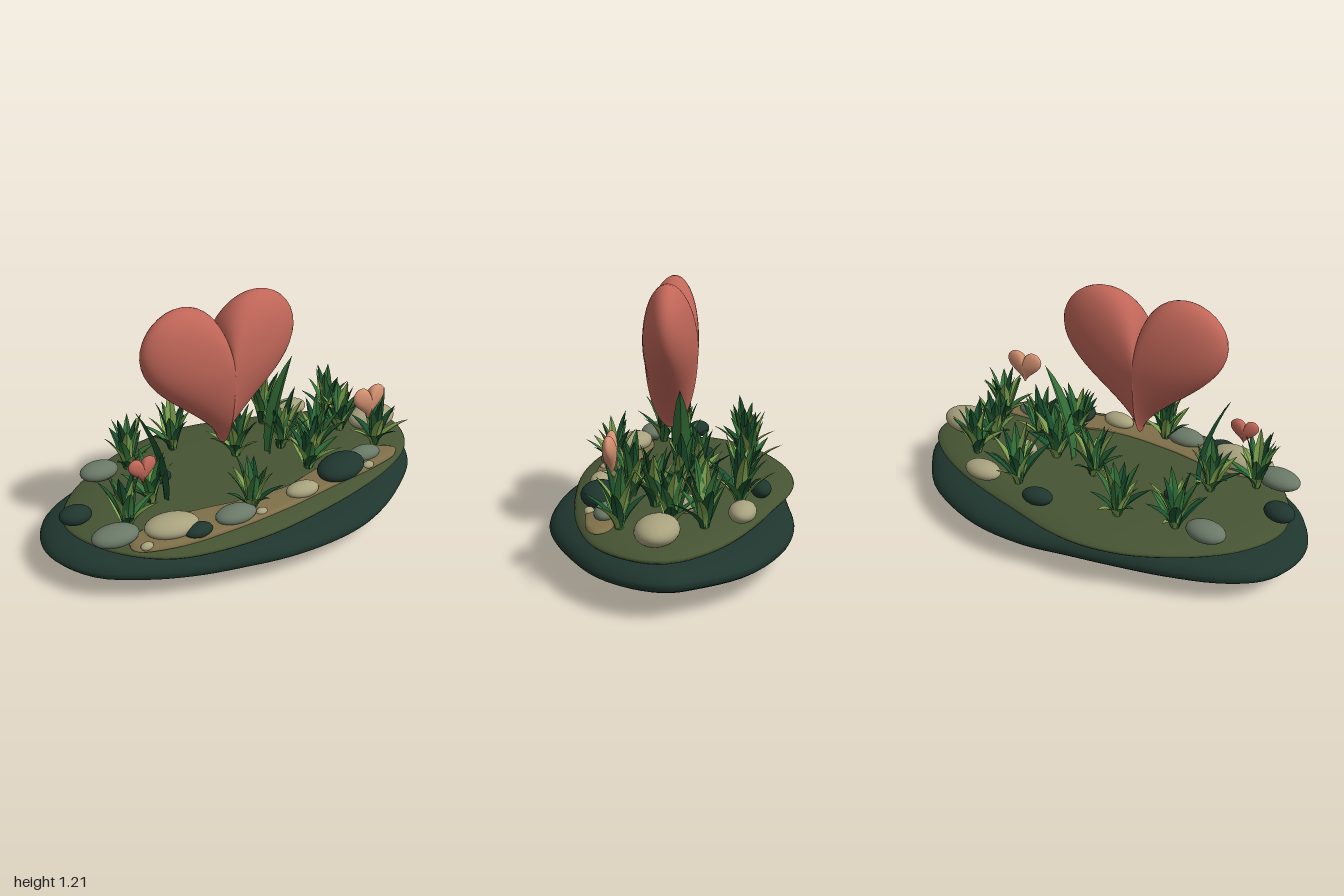
import * as THREE from 'three';
import { mergeGeometries } from 'three/addons/utils/BufferGeometryUtils.js';

const mat = (name, color, side = THREE.FrontSide) => {
  const m = new THREE.MeshStandardMaterial({ color, side });
  m.name = name;
  return m;
};

// Skin over a stack of closed rings of equal point count
function skin(rings) {
  const n = rings[0].length, index = [];
  for (let i = 0; i < rings.length - 1; i++)
    for (let j = 0; j < n; j++) {
      const k = (j + 1) % n, a = i * n + j, b = i * n + k, c = b + n, d = a + n;
      index.push(a, b, c, a, c, d);
    }
  const g = new THREE.BufferGeometry();
  g.setAttribute('position', new THREE.Float32BufferAttribute(rings.flat(2), 3));
  g.setIndex(index);
  g.computeVertexNormals();
  return g;
}

// Pebble-like slab: a plan outline [x, z] scaled by a profile of [scale, y]
function slab(outline, profile, cx, cz) {
  const curve = new THREE.CatmullRomCurve3(
    outline.map(([x, z]) => new THREE.Vector3(x, 0, z)), true, 'centripetal');
  const pts = curve.getPoints(96).slice(0, -1);
  return skin(profile.map(([s, y]) =>
    pts.map(p => [cx + (p.x - cx) * s, y, cz + (p.z - cz) * s])));
}

// Puffed heart: heart outline swelling from back to front
function heart(halfWidth, depth) {
  const rings = [], k = halfWidth / 16, cy = -1, N = 72, M = 24;
  for (let i = 0; i <= M; i++) {
    const u = 0.001 + (i / M) * (Math.PI - 0.002), s = Math.sin(u), ring = [];
    for (let j = 0; j < N; j++) {
      const t = -(j / N) * Math.PI * 2;
      const x = 16 * Math.sin(t) ** 3;
      const y = 13 * Math.cos(t) - 5 * Math.cos(2 * t) - 2 * Math.cos(3 * t) - Math.cos(4 * t);
      ring.push([x * s * k, (cy + (y - cy) * s) * k, -Math.cos(u) * depth]);
    }
    rings.push(ring);
  }
  return skin(rings);
}

// Pointed leaf, folded along its midrib and arching outward at the given angle
function leaf(x, y, z, angle, height, reach, half) {
  const pos = [], index = [], S = 7;
  const dx = Math.cos(angle), dz = Math.sin(angle);
  for (let i = 0; i <= S; i++) {
    const t = i / S, r = reach * t ** 1.6, h = height * (1.15 * t - 0.15 * t * t);
    const w = half * Math.max(0, Math.sin(Math.PI * (0.16 + 0.84 * t))) ** 0.85;
    for (const side of [-1, 0, 0, 1]) {
      const rr = r - Math.abs(side) * w * 0.4;
      pos.push(x + dx * rr - dz * w * side, y + h + Math.abs(side) * w * 0.15, z + dz * rr + dx * w * side);
    }
    if (i < S) for (const c of [0, 2]) {
      const a = i * 4 + c;
      index.push(a, a + 4, a + 1, a + 1, a + 4, a + 5);
    }
  }
  const g = new THREE.BufferGeometry();
  g.setAttribute('position', new THREE.Float32BufferAttribute(pos, 3));
  g.setIndex(index);
  g.computeVertexNormals();
  return g;
}

export function createModel() {
  const root = new THREE.Group();
  root.name = 'heartGarden';
  let seed = 11;
  const rnd = (a = 0, b = 1) => {
    seed = (seed * 16807) % 2147483647;
    return a + (b - a) * seed / 2147483647;
  };

  const slate = mat('darkSlate', 0x1f362e), moss = mat('moss', 0x465433), sand = mat('sand', 0x80704a);
  const grey = mat('greyStone', 0x6a7967), beige = mat('beigeStone', 0xa8a27e);
  const red = mat('heartRed', 0xc06658), peach = mat('heartPeach', 0xd29070);
  const greens = [
    mat('leafDark', 0x1c5230, THREE.DoubleSide),
    mat('leafMid', 0x35733a, THREE.DoubleSide),
    mat('leafLight', 0x7fa34f, THREE.DoubleSide)];

  const add = (name, geo, material, parent = root) => {
    const m = new THREE.Mesh(geo, material);
    m.name = name;
    parent.add(m);
    return m;
  };

  // Ground layers
  add('baseStone', slab(
    [[1, -0.05], [0.95, -0.17], [0.8, -0.37], [0.52, -0.52], [0.25, -0.565], [0.0, -0.545], [-0.25, -0.52],
      [-0.5, -0.485], [-0.75, -0.42], [-0.91, -0.32], [-0.99, -0.17], [-0.995, -0.02], [-0.9, 0.18], [-0.72, 0.32],
      [-0.52, 0.42], [-0.3, 0.49], [-0.1, 0.54], [0.12, 0.56], [0.32, 0.545], [0.5, 0.49], [0.7, 0.38], [0.87, 0.25], [0.97, 0.1]],
    [[0, 0], [0.2, 0.006], [0.45, 0.022], [0.7, 0.05], [0.87, 0.08], [0.95, 0.102], [0.985, 0.12], [1, 0.138],
      [0.993, 0.155], [0.975, 0.172], [0.94, 0.188], [0.86, 0.203], [0.7, 0.213], [0, 0.217]], -0.03, -0.07), slate);
  add('mossLayer', slab(
    [[0.98, 0], [0.95, -0.1], [0.85, -0.21], [0.7, -0.31], [0.5, -0.4], [0.3, -0.47], [0.08, -0.545], [-0.1, -0.57],
      [-0.3, -0.55], [-0.48, -0.49], [-0.62, -0.42], [-0.76, -0.32], [-0.87, -0.18], [-0.9, -0.06], [-0.85, 0.12],
      [-0.75, 0.27], [-0.6, 0.39], [-0.4, 0.45], [-0.15, 0.475], [0.1, 0.46], [0.4, 0.415], [0.65, 0.345], [0.82, 0.26], [0.93, 0.14]],
    [[0, 0.205], [0.8, 0.207], [0.94, 0.217], [0.985, 0.226], [1, 0.236], [0.99, 0.245], [0.96, 0.254], [0.9, 0.264],
      [0.8, 0.274], [0.5, 0.28], [0, 0.282]], 0, -0.03), moss);
  add('sandPath', slab(
    [[0.76, 0.26], [0.72, 0.21], [0.6, 0.19], [0.35, 0.2], [0.1, 0.25], [-0.2, 0.22], [-0.5, 0.16], [-0.72, 0.2],
      [-0.74, 0.28], [-0.6, 0.35], [-0.3, 0.39], [0, 0.39], [0.3, 0.36], [0.6, 0.33], [0.72, 0.3]],
    [[1, 0.265], [1, 0.275], [0.96, 0.283], [0.8, 0.287], [0, 0.288]], 0, 0.29), sand);

  // Stones: x, z, half sizes, turn
  const stones = new THREE.Group();
  stones.name = 'stones';
  root.add(stones);
  const ball = new THREE.SphereGeometry(1, 28, 18);
  [
    [grey, -0.6, -0.33, 0.095, 0.045, 0.065, -0.1], [slate, 0.2, -0.41, 0.075, 0.04, 0.048, 0.1],
    [beige, 0.535, -0.335, 0.095, 0.043, 0.06, -0.1], [beige, 0.45, -0.09, 0.075, 0.04, 0.05, 0],
    [beige, 0.82, 0, 0.13, 0.058, 0.092, -0.1], [slate, -0.855, -0.06, 0.075, 0.043, 0.057, -0.2],
    [slate, -0.38, -0.13, 0.06, 0.033, 0.038, 0], [grey, -0.78, 0.18, 0.108, 0.045, 0.07, -0.15],
    [beige, -0.54, 0.255, 0.125, 0.05, 0.08, -0.25], [slate, -0.45, 0.335, 0.066, 0.032, 0.044, -0.1],
    [grey, -0.25, 0.33, 0.1, 0.04, 0.062, -0.1], [beige, 0.12, 0.335, 0.083, 0.037, 0.05, -0.15],
    [slate, 0.38, 0.295, 0.135, 0.055, 0.092, 0.15], [grey, 0.57, 0.245, 0.085, 0.037, 0.05, -0.1],
    [beige, 0.53, 0.325, 0.03, 0.018, 0.022, 0], [beige, -0.69, 0.3, 0.03, 0.018, 0.022, 0],
    [beige, -0.13, 0.36, 0.028, 0.018, 0.022, 0]
  ].forEach(([m, x, z, rx, ry, rz, turn]) => {
    const s = add('stone', ball, m, stones);
    s.position.set(x, 0.272 + ry * 0.75, z);
    s.scale.set(rx, ry, rz);
    s.rotation.y = turn;
  });

  // Grass clumps: x, z, size; leaves cycle through the three greens
  [
    [-0.45, -0.32, 1], [-0.18, -0.35, 1], [0.35, -0.32, 1.08], [0.66, -0.18, 1], [0.28, -0.06, 1.05],
    [-0.5, 0, 0.95], [-0.69, 0.12, 0.98], [-0.15, 0.31, 0.92], [0.28, 0.17, 1], [0.7, 0.17, 0.95],
    [0.42, 0.05, 0.98], [0.05, -0.12, 1], [0.64, -0.04, 0.9]
  ].forEach(([x, z, size]) => {
    const clump = new THREE.Group();
    clump.name = 'grassClump';
    root.add(clump);
    const sets = [[], [], []];
    const turn = rnd(0, 6.28);
    for (let i = 0; i < 15; i++) {
      const tier = i % 3, a = turn + i * 2.4 + rnd(-0.2, 0.2);
      const h = [0.285, 0.23, 0.15][tier] * size * rnd(0.85, 1.1);
      const reach = [0.055, 0.095, 0.135][tier] * size * rnd(0.8, 1.15);
      sets[(i + Math.floor(i / 3)) % 3].push(
        leaf(x + Math.cos(a) * 0.018, 0.272, z + Math.sin(a) * 0.018, a, h, reach, rnd(0.022, 0.029)));
    }
    sets.forEach((s, k) => add('grassLeaves', mergeGeometries(s), greens[k], clump));
  });

  // Two tall blades flanking the large heart
  for (const [x, z, a, m] of [[-0.44, 0.02, Math.PI, greens[0]], [0.2, -0.05, 0, greens[1]]])
    add('tallBlade', leaf(x, 0.27, z, a, 0.51, 0.13, 0.043), m);

  // Hearts
  for (const [name, m, x, y, z, w, d] of [
    ['largeHeart', red, -0.137, 0.916, 0.03, 0.397, 0.131],
    ['smallRedHeart', red, -0.607, 0.565, 0.133, 0.068, 0.024],
    ['peachHeart', peach, 0.597, 0.58, 0.22, 0.094, 0.03]
  ]) add(name, heart(w, d), m).position.set(x, y, z);

  return root;
}
